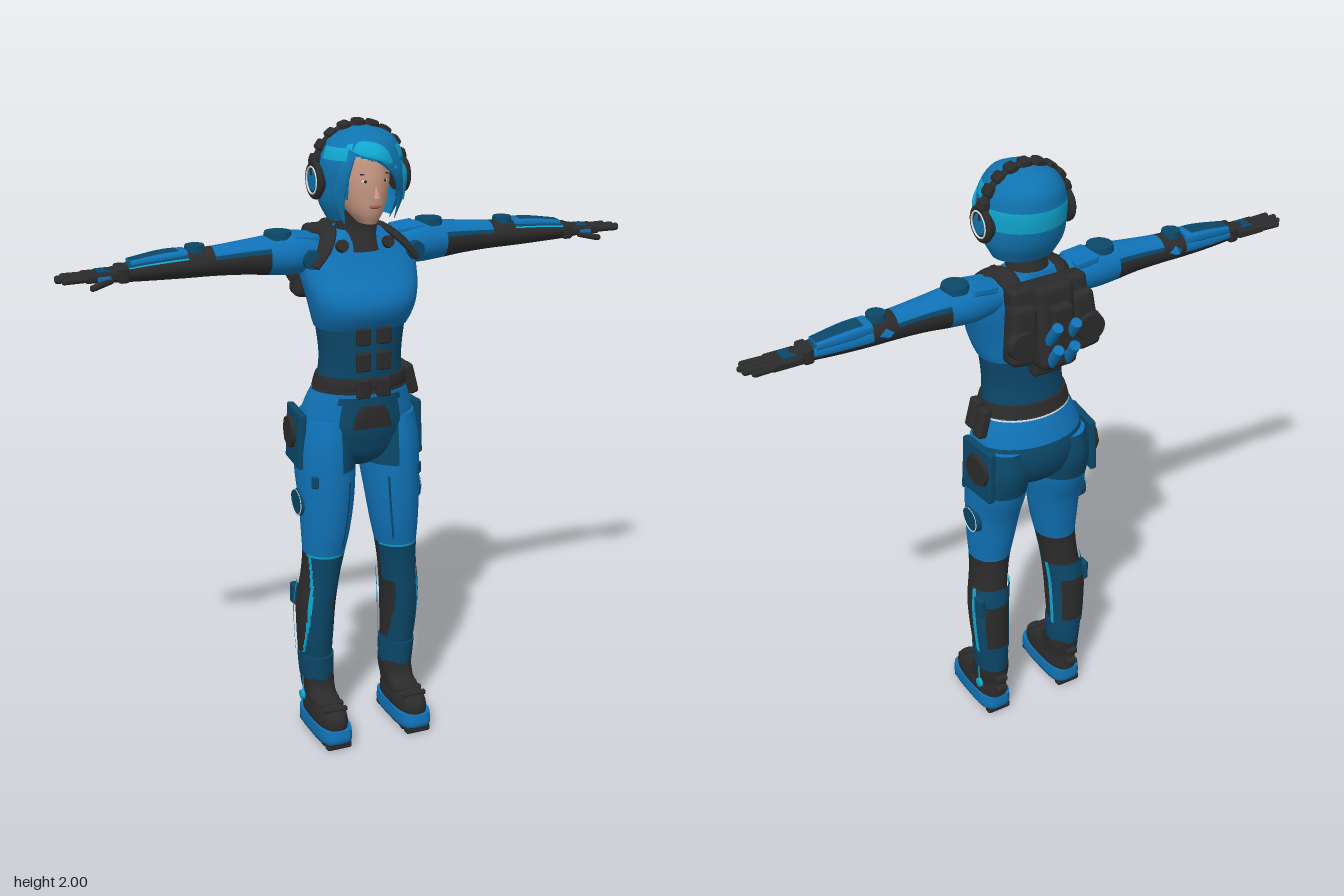
import * as THREE from 'three';
import { RoundedBoxGeometry } from 'three/addons/geometries/RoundedBoxGeometry.js';

const mat = (name, color, side = THREE.FrontSide) => {
  const m = new THREE.MeshStandardMaterial({ color, side });
  m.name = name;
  return m;
};
const blue = mat('suit blue', 0x1072b6), dark = mat('deep teal', 0x0b4768), black = mat('black', 0x2b2b2c);
const hairBlue = mat('hair blue', 0x1074b0, THREE.DoubleSide), cyan = mat('cyan', 0x10a6ce, THREE.DoubleSide);
const skin = mat('skin', 0xcb9a85), lip = mat('lip', 0xa5605a), white = mat('pale trim', 0xdde6e8);

// closed rings joined into a capped surface; pick(point, angle) gives each cell's material, null leaves a hole
function surface(name, rows, cols, point, pick) {
  const pos = [], cells = new Map();
  const put = (m, ...ids) => { if (!cells.has(m)) cells.set(m, []); cells.get(m).push(...ids); };
  const angle = j => (j / cols) * Math.PI * 2;
  const ring = t => { for (let j = 0; j < cols; j++) pos.push(...point(t, angle(j)).toArray()); };
  for (let i = 0; i <= rows; i++) ring(i / rows);
  for (let i = 0; i < rows; i++) for (let j = 0; j < cols; j++) {
    const a = i * cols + j, b = i * cols + (j + 1) % cols, mid = angle(j + 0.5);
    const m = pick(point((i + 0.5) / rows, mid), mid);
    if (m) put(m, a, a + cols, b, b, a + cols, b + cols);
  }
  for (const t of [0, 1]) {
    const m = pick(point(t, Math.PI / 2), Math.PI / 2), start = pos.length / 3;
    if (!m) continue;
    ring(t);
    const c = point(t, 0).add(point(t, Math.PI)).multiplyScalar(0.5);
    pos.push(c.x, c.y, c.z);
    for (let j = 0; j < cols; j++) {
      const a = start + j, b = start + (j + 1) % cols;
      put(m, start + cols, ...(t ? [b, a] : [a, b]));
    }
  }
  const geo = new THREE.BufferGeometry(), index = [], mats = [...cells.keys()];
  mats.forEach((m, k) => { geo.addGroup(index.length, cells.get(m).length, k); index.push(...cells.get(m)); });
  geo.setAttribute('position', new THREE.Float32BufferAttribute(pos, 3));
  geo.setIndex(index);
  geo.computeVertexNormals();
  const mesh = new THREE.Mesh(geo, mats.length > 1 ? mats : mats[0]);
  mesh.name = name;
  return mesh;
}
// loft up y through sections [y, centre x, half width, front z, back z]
function loft(name, sections, pick, rows = 24, cols = 32, power = 1) {
  const ys = sections.map(s => s[0]), y0 = ys[0], y1 = ys[ys.length - 1];
  const curve = new THREE.CubicInterpolant(ys, sections.flatMap(s => s.slice(1)), 4);
  const pw = v => Math.sign(v) * Math.abs(v) ** power;
  return surface(name, rows, cols, (t, a) => {
    const y = y0 + (y1 - y0) * t, [cx, w, f, b] = curve.evaluate(y);
    return new THREE.Vector3(cx + w * pw(Math.cos(a)), y, (f + b) / 2 + (f - b) / 2 * pw(Math.sin(a)));
  }, pick.isMaterial ? () => pick : pick);
}
// tapered, flattened strip along points [x, y, z, radius], facing away from a centre
function sweep(name, m, pts, flat, centre) {
  const path = new THREE.CatmullRomCurve3(pts.map(p => new THREE.Vector3(p[0], p[1], p[2])));
  const rad = new THREE.CatmullRomCurve3(pts.map((p, i) => new THREE.Vector3(p[3], i, 0)));
  return surface(name, 20, 12, (t, a) => {
    const p = path.getPoint(t), T = path.getTangent(t), r = rad.getPoint(t).x;
    const side = T.clone().cross(p.clone().sub(centre)).normalize(), out = side.clone().cross(T);
    return p.addScaledVector(side, r * Math.cos(a)).addScaledVector(out, r * flat * Math.sin(a));
  }, () => m);
}
function place(name, geo, m, pos, rot = [0, 0, 0], scale = [1, 1, 1]) {
  const mesh = new THREE.Mesh(geo, m);
  mesh.name = name;
  mesh.position.set(...pos); mesh.rotation.set(...rot); mesh.scale.set(...scale);
  return mesh;
}
const box = (name, m, size, pos, rot) =>
  place(name, new RoundedBoxGeometry(...size, 2, Math.min(...size) * 0.3), m, pos, rot);
const ball = (name, m, size, pos, rot) => place(name, new THREE.SphereGeometry(1, 28, 18), m, pos, rot, size);
const disc = (name, m, r, h, pos, rot) => place(name, new THREE.CylinderGeometry(r * 0.9, r, h, 24), m, pos, rot);
const groupOf = (name, ...parts) => { const g = new THREE.Group(); g.name = name; g.add(...parts); return g; };

// baked copy on the other side, with corner order flipped
function mirrored(group, name) {
  const out = groupOf(name), flip = new THREE.Matrix4().makeScale(-1, 1, 1);
  group.updateMatrixWorld(true);
  group.traverse(m => {
    if (!m.isMesh) return;
    const g = m.geometry.index ? m.geometry.toNonIndexed() : m.geometry.clone();
    g.applyMatrix4(flip.clone().multiply(m.matrixWorld));
    for (const { array, itemSize: n } of Object.values(g.attributes))
      for (let i = 0; i < array.length; i += 3 * n) for (let k = 0; k < n; k++)
        [array[i + n + k], array[i + 2 * n + k]] = [array[i + 2 * n + k], array[i + n + k]];
    const copy = new THREE.Mesh(g, m.material);
    copy.name = m.name;
    out.add(copy);
  });
  return out;
}

function makeLeg() {
  const shape = [[0.12, 0.14, 0.045, 0.08, -0.04], [0.18, 0.14, 0.046, 0.072, -0.042], [0.25, 0.145, 0.052, 0.08, -0.046],
    [0.35, 0.148, 0.058, 0.095, -0.046], [0.45, 0.147, 0.062, 0.105, -0.044], [0.56, 0.134, 0.062, 0.112, -0.03], [0.63, 0.126, 0.067, 0.12, -0.026],
    [0.7, 0.12, 0.076, 0.132, -0.036], [0.8, 0.114, 0.086, 0.14, -0.055], [0.9, 0.111, 0.093, 0.142, -0.09], [1, 0.11, 0.093, 0.138, -0.112],
    [1.08, 0.108, 0.078, 0.125, -0.1]];
  // cyan-edged black openings on both sides of the calf, widest halfway up
  const edge = y => 0.45 + 0.35 * Math.sin((y - 0.28) / 0.36 * Math.PI);
  const leg = loft('leg', shape, (p, a) => {
    const s = Math.sin(a), c = Math.cos(a);
    if (p.y > 0.92) return (p.z > 0 && p.x < 0.095) || (p.z < 0.05 && p.y < 1.09) ? dark : blue;
    if (p.y > 0.64) return p.y > 0.66 && p.y < 0.88 && s > 0 && c < -0.42 && c > -0.5 ? dark : blue;
    if (p.y > 0.632) return s > 0.2 ? cyan : black;
    if (p.y < 0.19) return black;
    if (p.y < 0.28) return dark;
    if (c > 0) return s > edge(p.y) ? dark : s > edge(p.y) - 0.13 ? cyan : black;
    if (p.y > 0.5) return s > 0.15 ? dark : black;
    return s > edge(p.y) ? dark : black;
  }, 130, 80);
  // raised shell hugging the back of the calf, with a black inset
  const calf = shape.slice(2, 6).map(([y, x, w, f, b]) => [y, x, w + 0.007, f, b - 0.008]);
  const calfGuard = loft('calfGuard', calf, (p, a) => {
    const s = Math.sin(a);
    if (p.y < 0.27 || p.y > 0.53 || s > -0.22) return null;
    if (s > -0.38) return cyan;
    return s < -0.8 && p.y > 0.3 && p.y < 0.47 ? black : dark;
  }, 40, 64);
  const boot = loft('boot', [[0.06, 0.14, 0.05, 0.212, -0.038], [0.09, 0.14, 0.051, 0.214, -0.038], [0.115, 0.14, 0.047, 0.195, -0.036],
    [0.135, 0.14, 0.047, 0.12, -0.038], [0.16, 0.14, 0.049, 0.09, -0.042], [0.2, 0.14, 0.049, 0.082, -0.045]], black, 20, 32, 0.75);
  const sole = loft('sole', [[0.018, 0.14, 0.053, 0.216, -0.038], [0.03, 0.14, 0.056, 0.225, -0.042], [0.068, 0.14, 0.055, 0.222, -0.041]],
    p => p.y < 0.022 ? black : blue, 12, 40, 0.55);
  const g = groupOf('leftLeg', leg, calfGuard, boot, sole,
    loft('ankleCuff', [[0.19, 0.142, 0.053, 0.085, -0.048], [0.23, 0.143, 0.056, 0.088, -0.051], [0.27, 0.145, 0.057, 0.09, -0.052]], dark, 5),
    box('calfPad', dark, [0.025, 0.07, 0.04], [0.2, 0.47, -0.015]),
    box('hipPlate', dark, [0.024, 0.18, 0.15], [0.192, 1.01, -0.012], [0, 0.1, 0.04]),
    place('hipPad', new THREE.CylinderGeometry(0.054, 0.06, 0.02, 8), black, [0.204, 1.02, -0.028], [0, 0.1, -Math.PI / 2], [0.95, 1, 1]),
    box('thighClip', dark, [0.025, 0.04, 0.04], [0.168, 0.89, 0.1], [0, 0.8, 0]),
    disc('thighDisc', dark, 0.046, 0.02, [0.199, 0.8, 0.025], [0, 0, -1.65]),
    place('thighDiscRing', new THREE.TorusGeometry(0.04, 0.002, 6, 32), white, [0.208, 0.8, 0.025], [0, Math.PI / 2, 0.08]),
    disc('ankleDisc', cyan, 0.017, 0.01, [0.191, 0.115, 0.015], [0, 0, -Math.PI / 2]),
    box('ankleStrip', cyan, [0.006, 0.05, 0.007], [0.188, 0.16, 0.02]));
  for (const z of [-0.02, 0.035, 0.1, 0.165, 0.2]) g.add(box('tread', black, [0.085, 0.025, 0.028], [0.14, 0.0125, z]));
  for (const y of [0.11, 0.155]) g.add(box('heelBuckle', black, [0.04, 0.022, 0.025], [0.14, y, -0.046]));
  for (const z of [0.1, 0.135, 0.17]) g.add(box('bootStrap', black, [0.085, 0.014, 0.018], [0.14, 0.13 - (z - 0.1) * 0.1, z]));
  return g;
}

function makeArm() {
  // built upright, then laid out sideways: local y runs along the arm, local -x is up
  const arm = loft('arm', [[0.12, 0, 0.05, 0.065, -0.05], [0.2, 0, 0.064, 0.078, -0.062], [0.28, 0, 0.06, 0.068, -0.058], [0.36, 0, 0.052, 0.058, -0.05],
    [0.45, 0.002, 0.045, 0.052, -0.048], [0.55, 0.004, 0.041, 0.05, -0.048], [0.65, 0.007, 0.035, 0.044, -0.042], [0.74, 0.012, 0.026, 0.034, -0.03],
    [0.78, 0.014, 0.02, 0.032, -0.03]], (p, a) => {
    const up = -Math.cos(a), front = Math.sin(a);
    if (p.y < 0.29) return blue;
    if (p.y < 0.46) return up > 0.45 ? blue : up > 0.3 ? dark : black;
    if (p.y < 0.54 || p.y > 0.72) return black;
    if (up > 0.6) return dark;
    if (up > 0.48 && front > 0) return cyan;
    return front < -0.3 && up > -0.2 ? blue : black;
  }, 66, 48);
  const g = groupOf('leftArm', arm,
    loft('forearmGuard', [[0.54, -0.024, 0.018, 0.032, -0.044], [0.6, -0.022, 0.019, 0.032, -0.046], [0.71, -0.012, 0.014, 0.024, -0.036]],
      (p, a) => Math.abs(Math.sin(a)) < 0.6 && p.y > 0.56 ? dark : blue, 14, 32, 0.6),
    disc('shoulderDisc', dark, 0.045, 0.02, [-0.06, 0.25, 0.005], [0, 0, Math.PI / 2]),
    disc('shoulderStud', dark, 0.03, 0.02, [0.01, 0.17, 0.085], [1.4, 0, 0]),
    disc('elbowDisc', dark, 0.032, 0.02, [-0.042, 0.51, 0], [0, 0, Math.PI / 2]),
    place('elbowFin', new THREE.ConeGeometry(0.035, 0.04, 4), blue, [0, 0.5, -0.05], [-Math.PI / 2, 0, 0], [0.7, 1, 1.3]),
    box('wristCuff', black, [0.05, 0.035, 0.075], [0.012, 0.735, 0.002]),
    box('palm', black, [0.026, 0.1, 0.08], [0.014, 0.8, 0]),
    box('thumbPlate', blue, [0.018, 0.04, 0.008], [0.018, 0.795, 0.04]),
    box('knucklePlate', dark, [0.008, 0.04, 0.05], [0.0, 0.79, 0]));
  // four fingers and a thumb
  [[0.03, 0.07], [0.01, 0.085], [-0.011, 0.08], [-0.031, 0.06]].forEach(([z, len]) =>
    g.add(place('finger', new THREE.CapsuleGeometry(0.0095, len, 4, 10), black, [0.014, 0.84 + len / 2, z * 1.1], [z * 1.5, 0, 0])));
  g.add(place('thumb', new THREE.CapsuleGeometry(0.01, 0.06, 4, 10), black, [0.03, 0.805, 0.045], [0.3, 0, -0.2]));
  g.position.y = 1.6;
  g.rotation.z = -Math.PI / 2;
  return g;
}

function makeTorso() {
  const g = groupOf('torso',
    loft('hips', [[0.915, 0, 0.05, 0.07, -0.04], [0.95, 0, 0.125, 0.115, -0.085], [1, 0, 0.178, 0.136, -0.112], [1.06, 0, 0.187, 0.148, -0.118],
      [1.13, 0, 0.17, 0.147, -0.095], [1.2, 0, 0.14, 0.146, -0.062]], p =>
      (p.z > 0.03 ? Math.abs(p.x) < 0.1 && p.y < 1.16 : p.y < 1.09) ? dark : blue, 40, 64),
    loft('waist', [[1.15, 0, 0.14, 0.135, -0.06], [1.2, 0, 0.138, 0.144, -0.058], [1.28, 0, 0.133, 0.148, -0.05], [1.39, 0, 0.146, 0.15, -0.052]], dark, 24, 48),
    loft('chest', [[1.372, 0, 0.146, 0.151, -0.053], [1.39, 0, 0.153, 0.164, -0.057], [1.42, 0, 0.162, 0.18, -0.059], [1.455, 0, 0.171, 0.185, -0.062],
      [1.49, 0, 0.179, 0.172, -0.065], [1.53, 0, 0.186, 0.142, -0.067], [1.58, 0, 0.185, 0.11, -0.068], [1.63, 0, 0.15, 0.085, -0.062],
      [1.665, 0, 0.08, 0.065, -0.055]], blue, 40, 56, 0.86),
    loft('neck', [[1.605, 0, 0.078, 0.109, -0.06], [1.64, 0, 0.074, 0.09, -0.055], [1.67, 0, 0.064, 0.078, -0.046], [1.7, 0, 0.054, 0.08, -0.036],
      [1.77, 0, 0.05, 0.1, -0.02]], black, 14),
    loft('belt', [[1.18, 0, 0.152, 0.156, -0.075], [1.2, 0, 0.149, 0.158, -0.07], [1.22, 0, 0.143, 0.154, -0.064]], black, 4, 40),
    loft('beltTrim', [[1.172, 0, 0.154, 0.156, -0.078], [1.175, 0, 0.154, 0.157, -0.078], [1.178, 0, 0.153, 0.156, -0.077]],
      (p, a) => Math.sin(a) < -0.2 ? white : black, 2, 40),
    loft('buckle', [[1.06, 0, 0.065, 0.156, 0.12], [1.1, 0, 0.055, 0.158, 0.12], [1.13, 0, 0.038, 0.156, 0.12]], black, 6, 24, 0.4),
    box('pouch', black, [0.035, 0.1, 0.045], [0.165, 1.175, 0.055], [0, 0, 0.25]),
    box('pouch', black, [0.035, 0.1, 0.045], [0.17, 1.17, 0.0], [0, 0, 0.25]));
  for (const s of [-1, 1]) {
    for (const [y, h] of [[1.355, 0.055], [1.275, 0.06], [1.19, 0.06]])
      g.add(box('abPad', black, [0.045, h, 0.022], [s * 0.034, y, 0.152]));
    g.add(sweep('harnessStrap', black, [[s * 0.09, 1.56, -0.08, 0.03], [s * 0.09, 1.65, -0.035, 0.03], [s * 0.1, 1.652, 0.03, 0.03],
      [s * 0.13, 1.62, 0.085, 0.026], [s * 0.17, 1.57, 0.098, 0.02]], 0.4, new THREE.Vector3(0, 1.45, 0)));
    g.add(box('shoulderPlate', blue, [0.08, 0.025, 0.1], [s * 0.175, 1.645, 0.0], [0, 0, s * 0.1]));
    g.add(disc('collarStud', black, 0.02, 0.02, [s * 0.075, 1.625, 0.088], [1.2, 0, 0]));
  }
  return g;
}

function makeBackpack() {
  const g = groupOf('backpack',
    box('packCore', black, [0.13, 0.27, 0.09], [0, 1.53, -0.125], [0.12, 0, 0]),
    box('packTop', black, [0.26, 0.08, 0.07], [0, 1.62, -0.09], [0.15, 0, 0]),
    box('packTail', black, [0.1, 0.15, 0.045], [0, 1.42, -0.09]),
    box('spinePlate', black, [0.07, 0.15, 0.04], [0, 1.54, -0.175]));
  for (const s of [-1, 1]) {
    g.add(box('sidePod', black, [0.085, 0.19, 0.075], [s * 0.105, 1.52, -0.12], [0.1, 0, s * 0.12]));
    g.add(disc('sideDisc', black, 0.05, 0.03, [s * 0.115, 1.5, -0.155], [-Math.PI / 2, 0, 0]));
    [[0.028, 1.455], [0.032, 1.53]].forEach(([x, y]) =>
      g.add(place('canister', new THREE.CylinderGeometry(0.017, 0.017, 0.08, 16), blue, [s * x, y, -0.19], [-0.6, 0, 0])));
  }
  return g;
}

function makeHead() {
  const c = new THREE.Vector3(0, 1.83, 0.04);
  const g = groupOf('head',
    loft('face', [[1.695, 0, 0.026, 0.142, 0.05], [1.725, 0, 0.05, 0.157, 0], [1.78, 0, 0.069, 0.166, -0.03], [1.85, 0, 0.077, 0.167, -0.05],
      [1.92, 0, 0.068, 0.148, -0.04], [1.95, 0, 0.04, 0.11, 0]], skin, 30),
    // hair shell with a face opening and lighter patches
    loft('hair', [[1.7, 0, 0.1, 0.115, -0.04], [1.75, 0, 0.124, 0.145, -0.07], [1.82, 0, 0.132, 0.168, -0.088], [1.88, 0, 0.13, 0.174, -0.09],
      [1.93, 0, 0.11, 0.16, -0.075], [1.96, 0, 0.075, 0.12, -0.038], [1.975, 0, 0.025, 0.06, 0.01]], (p, a) => {
      if (p.z > 0.06 && Math.abs(p.x) < 0.08 && p.y < 1.885 - 0.3 * p.x) return null;
      const s = Math.sin(a);
      if (s < -0.1 && p.y > 1.81 && p.y < 1.875) return cyan;
      return s > 0.15 && s < 0.75 && p.y > 1.89 && p.y < 1.925 ? cyan : hairBlue;
    }, 60, 80),
    sweep('fringe', hairBlue, [[-0.06, 1.935, 0.135, 0.02], [0.01, 1.915, 0.168, 0.035], [0.07, 1.86, 0.16, 0.032], [0.098, 1.78, 0.128, 0.024], [0.08, 1.705, 0.122, 0.003]], 0.3, c),
    sweep('fringeStreak', cyan, [[-0.075, 1.93, 0.125, 0.008], [-0.04, 1.925, 0.156, 0.026], [0.01, 1.91, 0.178, 0.026], [0.06, 1.865, 0.176, 0.004]], 0.3, c),
    sweep('sideLock', hairBlue, [[-0.05, 1.935, 0.135, 0.01], [-0.085, 1.87, 0.138, 0.02], [-0.1, 1.78, 0.118, 0.022], [-0.08, 1.7, 0.115, 0.003]], 0.35, c),
    sweep('lockStreak', cyan, [[0.085, 1.88, 0.152, 0.004], [0.1, 1.84, 0.144, 0.018], [0.108, 1.76, 0.124, 0.004]], 0.4, c),
    place('nose', new THREE.ConeGeometry(0.011, 0.045, 12), skin, [0, 1.8, 0.169], [-0.2, 0, 0]),
    ball('lips', lip, [0.019, 0.007, 0.008], [0, 1.752, 0.16]),
    place('headband', new THREE.TorusGeometry(0.142, 0.011, 10, 48, Math.PI), black, [0, 1.835, 0.03], [0, 0, 0], [1, 1, 1.4]));
  for (let i = 0; i < 9; i++) {
    const a = Math.PI * (0.1 + 0.1 * i);
    g.add(box('bandBlock', black, [0.03, 0.034, 0.042], [0.145 * Math.cos(a), 1.835 + 0.145 * Math.sin(a), 0.03], [0, 0, a]));
  }
  for (const s of [-1, 1]) g.add(
    ball('eye', white, [0.012, 0.005, 0.005], [s * 0.03, 1.828, 0.154], [0, s * 0.3, 0]),
    ball('iris', black, [0.005, 0.005, 0.004], [s * 0.03, 1.828, 0.1575]),
    box('brow', black, [0.03, 0.004, 0.005], [s * 0.031, 1.849, 0.154], [0, s * 0.3, s * -0.1]),
    disc('earCup', black, 0.048, 0.03, [s * 0.132, 1.82, 0.035], [0, 0, -s * Math.PI / 2]),
    place('earRing', new THREE.TorusGeometry(0.047, 0.011, 10, 32), black, [s * 0.141, 1.82, 0.035], [0, Math.PI / 2, 0]),
    place('earTrim', new THREE.TorusGeometry(0.04, 0.003, 6, 32), white, [s * 0.151, 1.82, 0.035], [0, Math.PI / 2, 0]),
    disc('earCentre', hairBlue, 0.034, 0.008, [s * 0.147, 1.82, 0.035], [0, 0, -s * Math.PI / 2]));
  return g;
}

export function createModel() {
  const leg = makeLeg(), arm = makeArm();
  return groupOf('armouredFigure', makeTorso(), makeHead(), makeBackpack(),
    leg, mirrored(leg, 'rightLeg'), arm, mirrored(arm, 'rightArm'));
}
